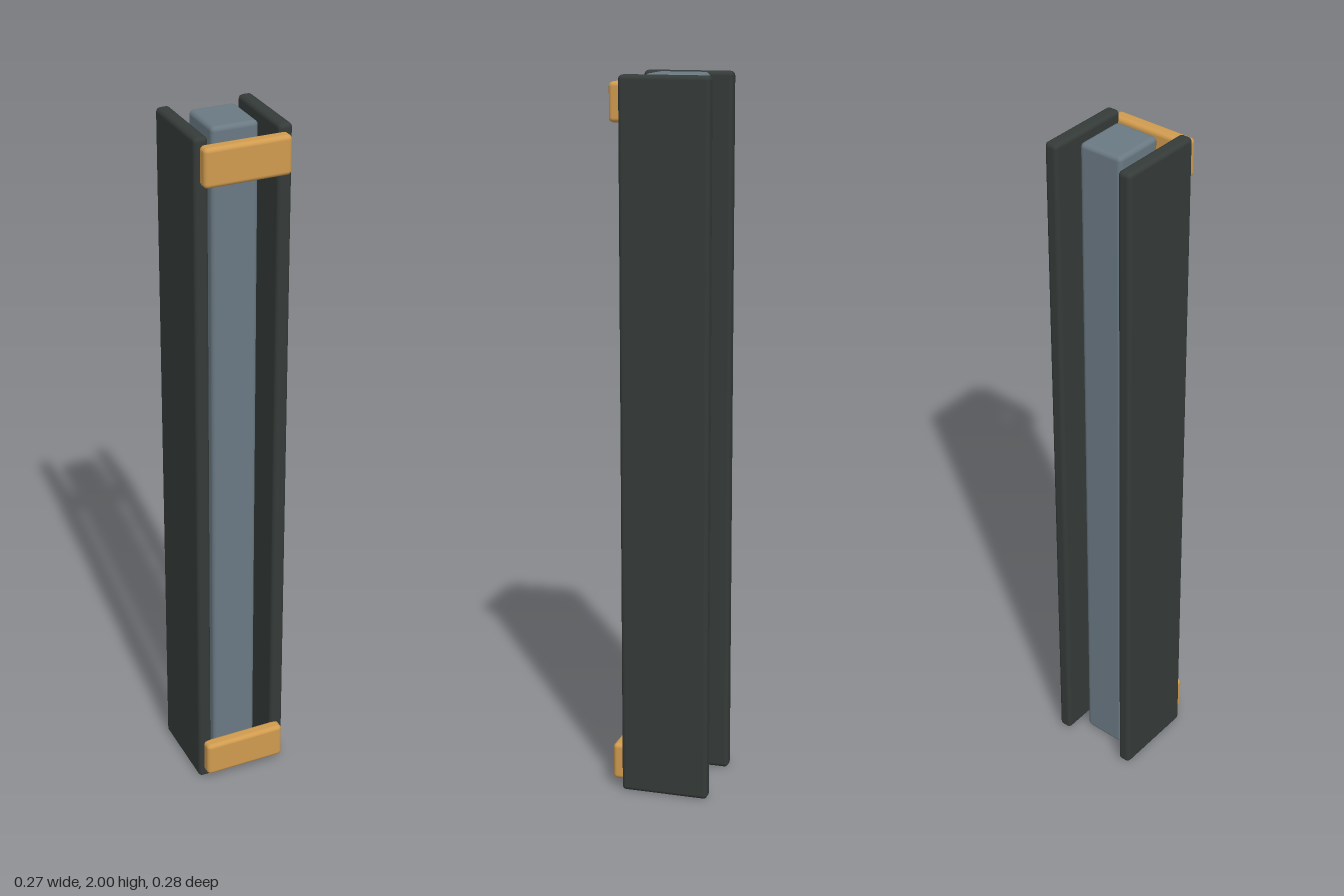
import * as THREE from 'three';
import { RoundedBoxGeometry } from 'three/addons/geometries/RoundedBoxGeometry.js';

const material = (name, color) => {
  const m = new THREE.MeshStandardMaterial({ color });
  m.name = name;
  return m;
};

export function createModel() {
  const dark = material('dark graphite', 0x353b39);
  const steel = material('blue grey steel', 0x6a7983);
  const brass = material('brass', 0xd09b4f);

  const group = new THREE.Group();
  group.name = 'railColumn';

  const addBox = (name, mat, size, position, radius) => {
    const mesh = new THREE.Mesh(new RoundedBoxGeometry(...size, 3, radius), mat);
    mesh.name = name;
    mesh.position.set(...position);
    group.add(mesh);
  };

  // Central bar
  addBox('core', steel, [0.13, 2, 0.148], [0, 1, -0.016], 0.013);

  // Side plates, mirrored
  for (const [name, side] of [['leftPlate', 1], ['rightPlate', -1]]) {
    addBox(name, dark, [0.039, 2, 0.249], [side * 0.115, 1, -0.016], 0.012);
  }

  // Front cross straps near both ends
  for (const [name, y] of [['lowerStrap', 0.078], ['upperStrap', 1.928]]) {
    addBox(name, brass, [0.24, 0.106, 0.039], [0, y, 0.1195], 0.012);
  }

  return group;
}
